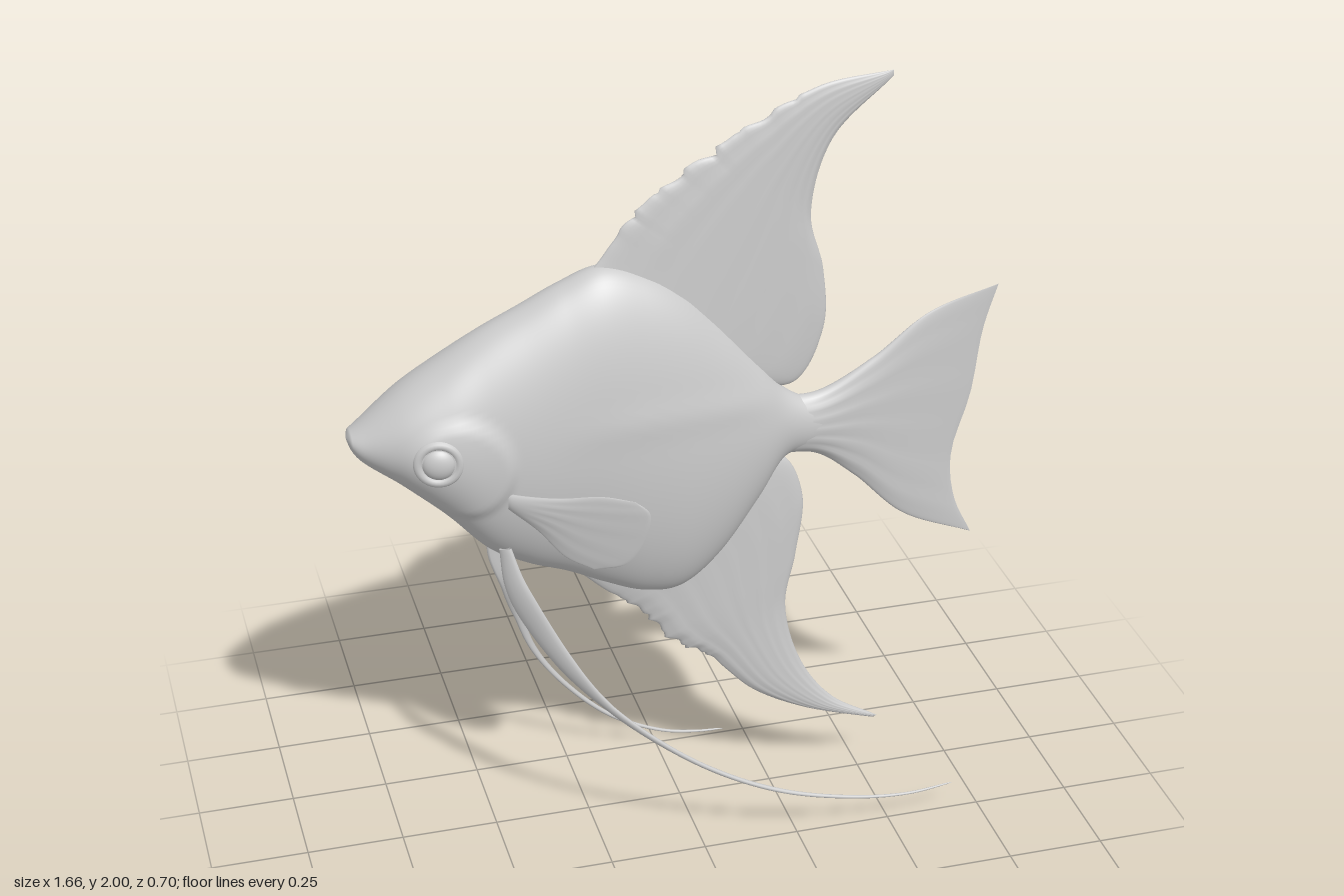
import * as THREE from 'three';

const material = new THREE.MeshStandardMaterial({ color: 0xcccccc, roughness: 0.8, side: THREE.DoubleSide });

const spline2 = (pts) => new THREE.CatmullRomCurve3(pts.map(([x, y]) => new THREE.Vector3(x, y, 0)));
const spline3 = (pts) => new THREE.CatmullRomCurve3(pts.map((p) => new THREE.Vector3(...p)));
const { lerp, smoothstep } = THREE.MathUtils;

// Skin closed rings: point(v, angle) -> [x, y, z]; v runs along the part
function loft(name, rows, cols, point, flip = false) {
  const pos = [], index = [];
  for (let i = 0; i <= rows; i++) {
    for (let j = 0; j < cols; j++) pos.push(...point(i / rows, (j / cols) * Math.PI * 2));
  }
  for (let i = 0; i < rows; i++) {
    for (let j = 0; j < cols; j++) {
      const a = i * cols + j, b = i * cols + ((j + 1) % cols);
      const c = a + cols, d = b + cols;
      if (flip) index.push(a, c, b, b, c, d);
      else index.push(a, b, c, b, d, c);
    }
  }
  const geo = new THREE.BufferGeometry();
  geo.setAttribute('position', new THREE.Float32BufferAttribute(pos, 3));
  geo.setIndex(index);
  geo.computeVertexNormals();
  const mesh = new THREE.Mesh(geo, material);
  mesh.name = name;
  return mesh;
}

// Thin lens-section fin spanning edge a to edge b, with optional curved end,
// ragged edge and a bend giving z for each x
function fin(name, { a, b, end, thick, rays = 0, ragged, bend = () => 0, side = 1 }) {
  const A = spline2(a), B = spline2(b), E = end && spline2(end);
  const corner = [A.getPoint(1), B.getPoint(1)];
  return loft(name, 90, 56, (v, ang) => {
    const u = (1 - Math.cos(ang)) / 2;
    const pa = A.getPoint(v), pb = B.getPoint(v);
    const p = pa.clone().lerp(pb, u);
    if (E) {
      const straight = corner[0].clone().lerp(corner[1], u);
      p.addScaledVector(E.getPoint(u).sub(straight), v ** 3);
    }
    if (ragged) {
      const { edge, from, to, teeth, depth } = ragged;
      const s = (v - from) / (to - from);
      if (s > 0 && s < 1) {
        const saw = ((s * teeth) % 1) * depth * Math.sin(Math.PI * s) * (0.6 + 0.4 * Math.sin(s * 37));
        const w = (edge === 0 ? 1 - u : u) ** 10;
        p.addScaledVector((edge === 0 ? pb.clone().sub(pa) : pa.clone().sub(pb)).normalize(), saw * w);
      }
    }
    const ripple = 1 + 0.07 * Math.sin(u * rays * Math.PI * 2) * smoothstep(v, 0.1, 0.4);
    const half = lerp(thick[0], thick[1], v) * Math.sqrt(Math.max(0, 1 - v ** 14)) * ripple;
    return [p.x, p.y, side * (bend(p.x) + half * Math.sin(ang))];
  }, side < 0);
}

// Body: x, top, bottom, half width
function body() {
  const profile = [
    [-0.835, 1.21, 1.185, 0.03], [-0.8, 1.235, 1.135, 0.065], [-0.7, 1.315, 1.055, 0.12],
    [-0.6, 1.38, 0.96, 0.143], [-0.5, 1.44, 0.85, 0.145], [-0.4, 1.49, 0.79, 0.145],
    [-0.3, 1.54, 0.75, 0.142], [-0.2, 1.575, 0.7, 0.14], [-0.1, 1.55, 0.66, 0.133],
    [0, 1.49, 0.66, 0.122], [0.1, 1.39, 0.74, 0.102], [0.2, 1.27, 0.88, 0.074],
    [0.27, 1.185, 0.99, 0.05], [0.35, 1.14, 1.01, 0.035], [0.45, 1.11, 1.04, 0.02],
    [0.55, 1.08, 1.07, 0.003],
  ];
  const uniform = (pts) => { const c = spline3(pts); c.curveType = 'catmullrom'; return c; };
  const heights = uniform(profile.map(([x, t, b]) => [x, t, b]));
  const widths = uniform(profile.map(([x, , , w]) => [x, w, 0]));
  return loft('body', 150, 96, (v, ang) => {
    const h = heights.getPoint(v), round = Math.min(1, Math.sqrt(v * 60));
    const y = (h.y + h.z) / 2 + ((h.y - h.z) / 2) * Math.cos(ang) * round;
    const s = Math.sin(ang);
    let z = widths.getPoint(v).y * round * s;
    // gill cover plate, and a faint ridge along the flank
    const gill = 1 - smoothstep(Math.hypot(h.x + 0.585, y - 1.13), 0.115, 0.15);
    const ridge = Math.exp(-(((y - 1.2 + 0.2 * (h.x + 0.1) ** 2) / 0.04) ** 2)) * smoothstep(h.x, -0.4, -0.1) * (1 - smoothstep(h.x, 0.1, 0.3));
    z += s * (0.011 * gill + 0.005 * ridge);
    return [h.x, y, z];
  });
}

// Long pelvic feeler: flattened and broad near its root, then a fine thread
function feeler(name, pts, side) {
  const path = spline3(pts);
  const widthCurve = spline2([[0, 0.018], [0, 0.038], [0, 0.03], [0, 0.014], [0, 0.009], [0, 0.007], [0, 0.006], [0, 0.005], [0, 0.004], [0, 0.003]]);
  return loft(name, 120, 14, (v, ang) => {
    const p = path.getPointAt(v), t = path.getTangentAt(v);
    const wide = new THREE.Vector3(0.75, 0.1, 0.65 * side);
    wide.addScaledVector(t, -wide.dot(t)).normalize();
    const thin = t.clone().cross(wide);
    const w = widthCurve.getPoint(v).y * Math.sqrt(Math.max(0, 1 - v ** 40));
    p.addScaledVector(wide, w * Math.cos(ang)).addScaledVector(thin, Math.min(w, 0.005 + w * 0.15) * Math.sin(ang));
    return p.toArray();
  }, true);
}

function eye(side) {
  const group = new THREE.Group();
  group.name = side > 0 ? 'leftEye' : 'rightEye';
  const ball = new THREE.Mesh(new THREE.SphereGeometry(0.042, 28, 18), material);
  ball.name = 'eyeball';
  ball.scale.z = 0.6;
  const lid = new THREE.Mesh(new THREE.TorusGeometry(0.05, 0.013, 12, 36), material);
  lid.name = 'eyeRim';
  group.add(ball, lid);
  group.position.set(-0.635, 1.17, side * 0.137);
  group.rotation.y = side * -0.18;
  return group;
}

export function createModel() {
  const model = new THREE.Group();
  model.name = 'angelfish';
  model.add(body());

  model.add(fin('dorsalFin', {
    a: [[-0.28, 1.5], [-0.2, 1.59], [-0.12, 1.7], [0.02, 1.81], [0.19, 1.91], [0.35, 1.98], [0.53, 2.0]],
    b: [[0.18, 1.2], [0.3, 1.2], [0.37, 1.34], [0.365, 1.5], [0.33, 1.65], [0.38, 1.84], [0.53, 1.985]],
    thick: [0.036, 0.01], rays: 7,
    ragged: { edge: 0, from: 0.2, to: 0.85, teeth: 9, depth: 0.025 },
  }));
  model.add(fin('analFin', {
    a: [[0.15, 1.0], [0.27, 0.99], [0.325, 0.87], [0.31, 0.7], [0.285, 0.55], [0.33, 0.37], [0.42, 0.24], [0.55, 0.155]],
    b: [[-0.35, 0.82], [-0.22, 0.69], [-0.12, 0.6], [-0.02, 0.48], [0.08, 0.42], [0.2, 0.3], [0.34, 0.22], [0.54, 0.15]],
    thick: [0.036, 0.012], rays: 7,
    ragged: { edge: 1, from: 0.18, to: 0.62, teeth: 6, depth: 0.045 },
  }));
  model.add(fin('tailFin', {
    a: [[0.22, 1.17], [0.35, 1.16], [0.5, 1.235], [0.65, 1.345], [0.83, 1.4]],
    b: [[0.22, 1.0], [0.35, 0.99], [0.46, 0.91], [0.6, 0.775], [0.79, 0.69]],
    end: [[0.83, 1.4], [0.795, 1.28], [0.77, 1.1], [0.725, 0.93], [0.74, 0.8], [0.79, 0.69]],
    thick: [0.045, 0.005], rays: 6,
  }));

  for (const side of [1, -1]) {
    model.add(eye(side));
    model.add(fin(side > 0 ? 'leftPectoralFin' : 'rightPectoralFin', {
      a: [[-0.47, 1.06], [-0.36, 1.08], [-0.27, 1.105], [-0.2, 1.105]],
      b: [[-0.47, 1.02], [-0.41, 0.98], [-0.35, 0.92], [-0.29, 0.9]],
      end: [[-0.2, 1.105], [-0.17, 1.08], [-0.18, 1.01], [-0.22, 0.93], [-0.29, 0.9]],
      thick: [0.016, 0.005], rays: 5, side,
      bend: (x) => 0.13 + 0.22 * Math.max(0, (x + 0.47) / 0.3) ** 0.85,
    }));
  }

  model.add(feeler('leftPelvicFin', [
    [-0.47, 0.88, 0.085], [-0.45, 0.78, 0.105], [-0.4, 0.67, 0.135], [-0.31, 0.53, 0.185], [-0.2, 0.41, 0.22],
    [0, 0.25, 0.243], [0.2, 0.145, 0.254], [0.4, 0.09, 0.258], [0.55, 0.072, 0.256], [0.68, 0.08, 0.25],
  ], 1));
  model.add(feeler('rightPelvicFin', [
    [-0.47, 0.88, -0.085], [-0.455, 0.78, -0.105], [-0.42, 0.66, -0.135], [-0.39, 0.53, -0.185], [-0.34, 0.38, -0.222],
    [-0.25, 0.24, -0.24], [-0.12, 0.11, -0.25], [0.02, 0.035, -0.256], [0.12, 0.01, -0.262], [0.2, 0.003, -0.265],
  ], -1));
  return model;
}
